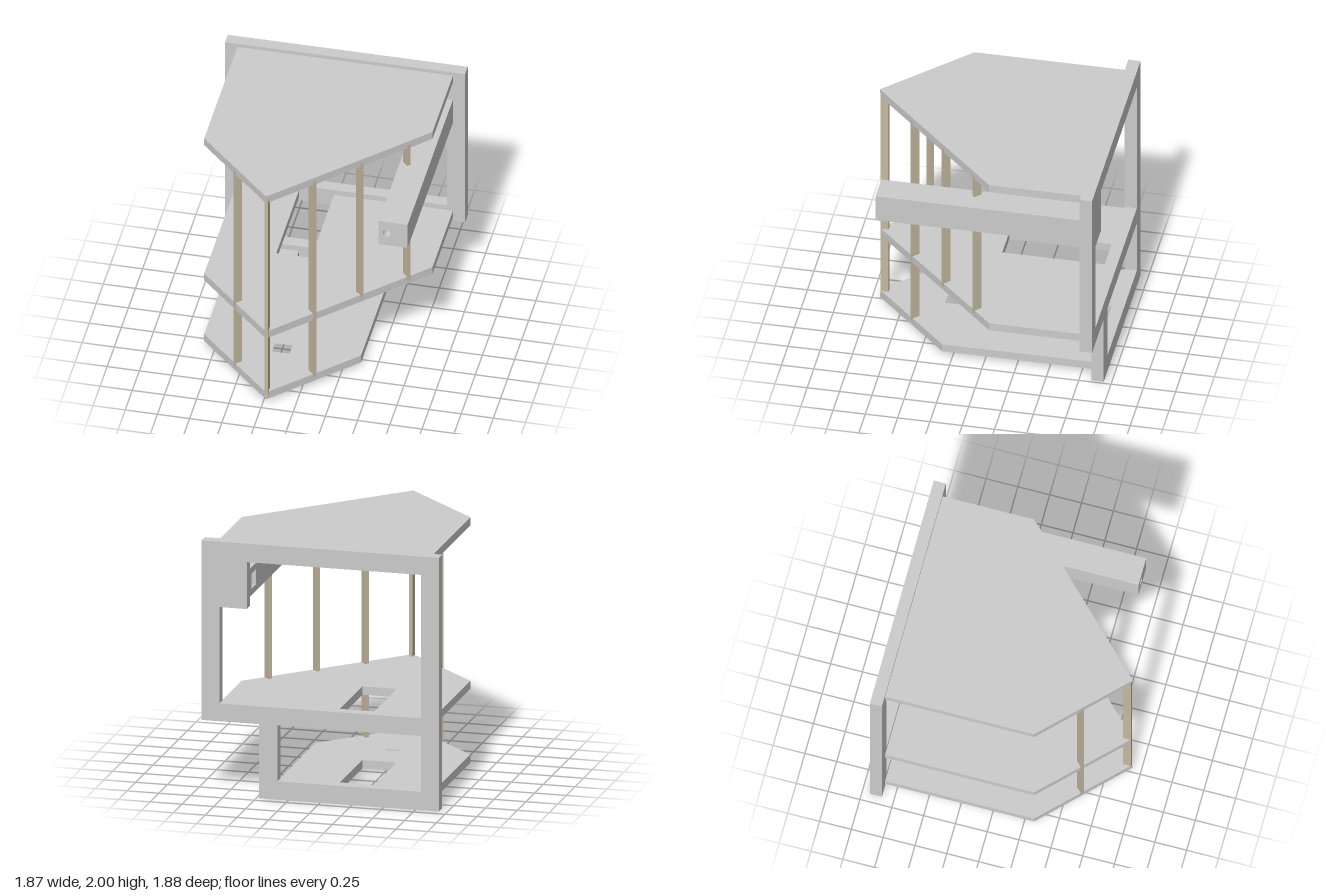
import * as THREE from 'three';

const grey = new THREE.MeshStandardMaterial({ color: 0xcccccc, flatShading: true });
const tan = new THREE.MeshStandardMaterial({ color: 0xc4b8a0, flatShading: true });

const path = (pts, Type = THREE.Shape) => new Type(pts.map(p => new THREE.Vector2(p[0], p[1])));
const rect = (x0, y0, x1, y1) => [[x0, y0], [x1, y0], [x1, y1], [x0, y1]];

// Extrude a front-facing outline from z0 to z1
function slab(shape, z0, z1) {
  const g = new THREE.ExtrudeGeometry(shape, { depth: z1 - z0, bevelEnabled: false, curveSegments: 16 });
  return g.translate(0, 0, z0);
}

function add(parent, name, geometry, material = grey) {
  const mesh = new THREE.Mesh(geometry, material);
  mesh.name = name;
  parent.add(mesh);
  return mesh;
}

// Pentagonal floor plan as [x, z]; options cut the tip, the rear slot and the square opening
function plateLayer(y0, y1, { narrow, notched, slot, hatch }) {
  const tip = notched ? [[-0.215, 0.925], [-0.235, 0.925]] : [[-0.225, 0.935]];
  const right = narrow ? [[0.38, -0.845], [0.38, 0.33]] : [[0.835, -0.845], [0.835, -0.125]];
  const rear = slot ? [[-0.36, -0.845], [-0.36, -0.04], [-0.09, -0.04], [-0.09, -0.845]] : [];
  const outline = [[-0.84, -0.845], ...rear, ...right, ...tip, [-0.84, 0.325]];
  const flip = pts => pts.map(([x, z]) => [x, -z]);
  const shape = path(flip(outline));
  if (hatch) shape.holes.push(path(flip(rect(-0.3, 0.275, -0.155, 0.425)), THREE.Path));
  return slab(shape, y0, y1).rotateX(-Math.PI / 2);
}

export function createModel() {
  const model = new THREE.Group();
  model.name = 'shelfUnit';

  // Stepped back frame with two window openings
  const frame = path([[-0.935, 0], [0.48, 0], [0.48, 0.585], [0.93, 0.585], [0.93, 2], [-0.935, 2]]);
  frame.holes.push(
    path(rect(-0.795, 0.145, 0.335, 0.585), THREE.Path),
    path([[-0.795, 0.725], [0.79, 0.725], [0.79, 1.485], [0.575, 1.485], [0.575, 1.855], [-0.795, 1.855]], THREE.Path)
  );
  add(model, 'backFrame', slab(frame, -0.94, -0.845));

  // Plates, layered so the front post sits in a notch at the tip
  const plates = [
    ['topPlate', [[1.905, 1.94, { notched: true }], [1.94, 1.97, {}]]],
    ['middlePlate', [[0.615, 0.68, { notched: true, slot: true }]]],
    ['bottomPlate', [
      [0.035, 0.065, { narrow: true, slot: true, hatch: true }],
      [0.065, 0.1, { narrow: true, notched: true, slot: true, hatch: true }]
    ]]
  ];
  for (const [name, layers] of plates) {
    const plate = new THREE.Group();
    plate.name = name;
    for (const [y0, y1, options] of layers) add(plate, name + 'Layer', plateLayer(y0, y1, options));
    model.add(plate);
  }

  // Slim posts, each turned square to its plate edge: [x, z, angle, bottom, top]
  const q = Math.PI / 4, depth = 0.062;
  const posts = [
    ['leftPost', -0.54, 0.625, -q, 0.068, 1.937],
    ['frontPost', -0.225, 0.926, 0, 0.066, 1.939],
    ['rightPost', 0.085, 0.627, q, 0.068, 1.937],
    ['upperPost', 0.386, 0.326, q, 0.648, 1.937],
    ['lowerSplitPost', 0.685, 0.027, q, 0.648, 1.52],
    ['upperSplitPost', 0.685, 0.027, q, 1.74, 1.937]
  ];
  for (const [name, x, z, angle, y0, y1] of posts) {
    const post = add(model, name, new THREE.BoxGeometry(0.029, y1 - y0, depth), tan);
    post.rotation.y = angle;
    post.position.set(x - Math.sin(angle) * depth / 2, (y0 + y1) / 2, z - Math.cos(angle) * depth / 2);
  }

  // Long beam: bored front length, side pocket, solid rear
  const beam = new THREE.Group();
  beam.name = 'beam';
  const section = rect(0.61, 1.52, 0.835, 1.74);
  const bored = path(section);
  bored.holes.push(new THREE.Path().absarc(0.675, 1.63, 0.033, 0, Math.PI * 2));
  const pocket = path([[0.61, 1.52], [0.835, 1.52], [0.835, 1.74], [0.61, 1.74],
    [0.61, 1.69], [0.73, 1.69], [0.73, 1.57], [0.61, 1.57]]);
  add(beam, 'boredLength', slab(bored, -0.55, 0.755));
  add(beam, 'pocketLength', slab(pocket, -0.67, -0.55));
  add(beam, 'rearLength', slab(path(section), -0.845, -0.67));
  model.add(beam);

  return model;
}
